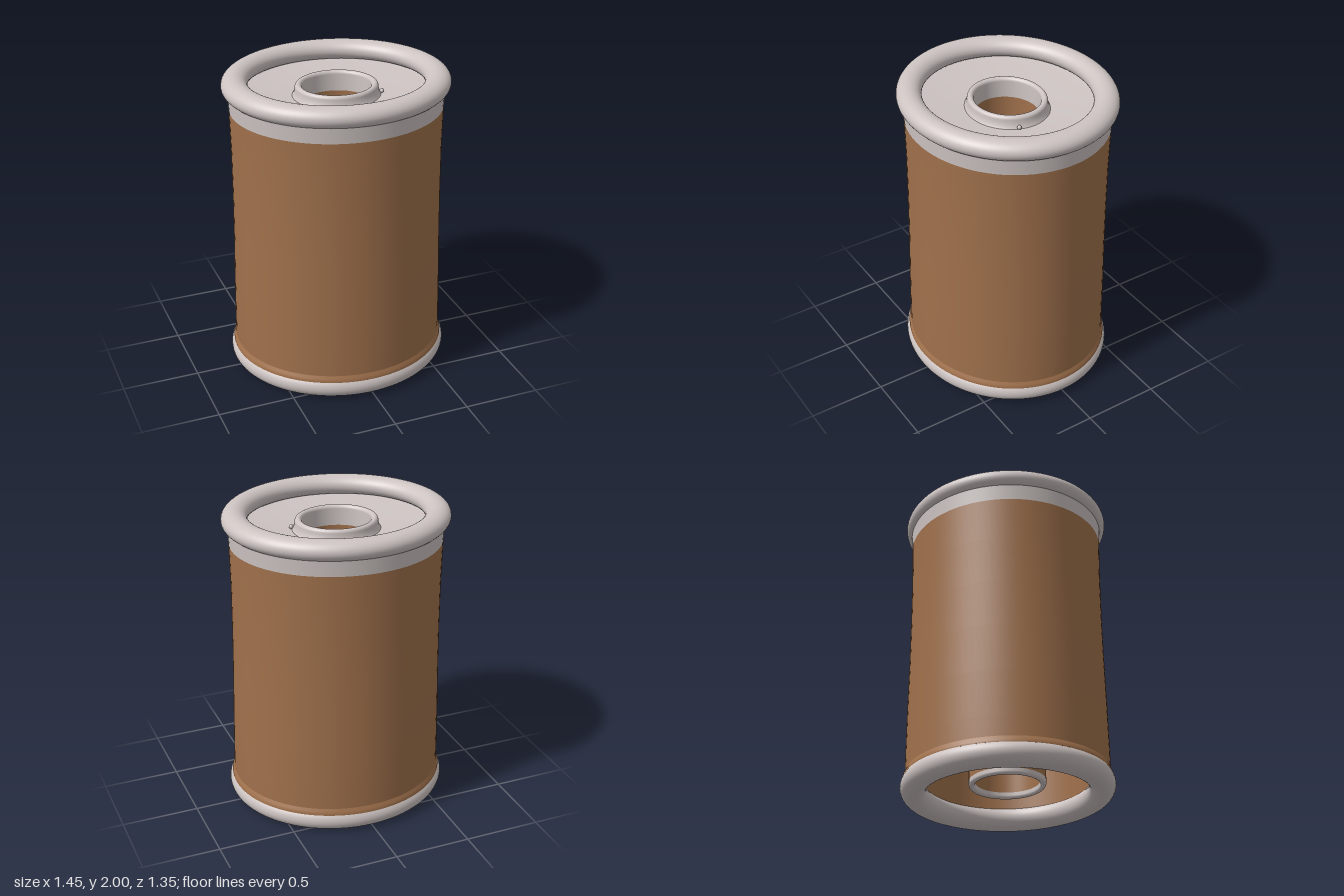
import * as THREE from 'three';

const SEGMENTS = 96;
const DEPTH = 0.921; // oval plan: depth relative to width

// Points along an elliptical arc in the (radius, height) plane, angles in degrees
function arc(r, y, rr, ry, from, to, steps = 20) {
  return Array.from({ length: steps + 1 }, (_, i) => {
    const a = THREE.MathUtils.degToRad(from + (to - from) * i / steps);
    return [r + rr * Math.cos(a), y + ry * Math.sin(a)];
  });
}

export function createModel() {
  const grey = new THREE.MeshStandardMaterial({ color: 0xcdc4c2 });
  grey.name = 'pale grey';
  const brown = new THREE.MeshStandardMaterial({ color: 0xa0714c });
  brown.name = 'brown';

  const group = new THREE.Group();
  group.name = 'spool';

  // Oval revolved part with a very slight backward lean
  function revolve(name, material, profile) {
    const geometry = new THREE.LatheGeometry(profile.map(p => new THREE.Vector2(...p)), SEGMENTS);
    geometry.scale(1, 1, DEPTH);
    const pos = geometry.attributes.position;
    for (let i = 0; i < pos.count; i++) {
      pos.setZ(i, pos.getZ(i) + 0.006 - 0.008 * pos.getY(i));
    }
    const mesh = new THREE.Mesh(geometry, material);
    mesh.name = name;
    group.add(mesh);
  }

  // Outer wall, gently waisted and flared at the foot, with a pale band at the top
  revolve('outerWall', brown, [
    [0.696, 0.17], [0.695, 0.3], [0.69, 0.6], [0.683, 0.9], [0.679, 1.2], [0.678, 1.5], [0.683, 1.78],
  ]);
  revolve('topBand', grey, [[0.683, 1.78], [0.686, 1.83], [0.69, 1.89]]);

  // Rolled rims; the upper edge of the bottom rim is brown
  revolve('topRim', grey, arc(0.643, 1.935, 0.084, 0.065, -70, 250, 32));
  revolve('bottomRim', grey, arc(0.637, 0.08, 0.09, 0.08, 141, 396, 32));
  revolve('bottomRimEdge', brown, [[0.71, 0.127], [0.71, 0.14], [0.704, 0.153], [0.696, 0.17]]);

  // Almost flat top plate and the raised collar around the hole
  revolve('topPlate', grey, [[0.62, 1.875], [0.56, 1.868], [0.42, 1.856], [0.27, 1.846]]);
  revolve('collar', grey, [
    [0.285, 1.843], [0.272, 1.86], [0.266, 1.885], ...arc(0.243, 1.9, 0.022, 0.022, 0, 180, 10), [0.219, 1.79],
  ]);

  // Small bead on the collar's side
  const bead = new THREE.Mesh(new THREE.SphereGeometry(0.014, 12, 8), grey);
  bead.name = 'collarBead';
  bead.position.set(0.27, 1.862, 0.08);
  group.add(bead);

  // Hollow inside: inner wall and underside of the plate
  revolve('innerWall', brown, [[0.575, 1.77], [0.575, 1], [0.567, 0.13]]);
  revolve('plateUnderside', brown, [[0.25, 1.76], [0.575, 1.77]]);

  // Core tube, open at both ends, with a pale lower lip
  revolve('coreTubeBore', brown, [[0.219, 1.79], [0.219, 1], [0.222, 0.13]]);
  revolve('coreTubeOutside', brown, [[0.262, 0.13], [0.262, 1], [0.262, 1.77]]);
  revolve('coreTubeLip', grey, [[0.222, 0.13], ...arc(0.242, 0.11, 0.02, 0.018, 180, 360, 10), [0.262, 0.13]]);

  return group;
}
